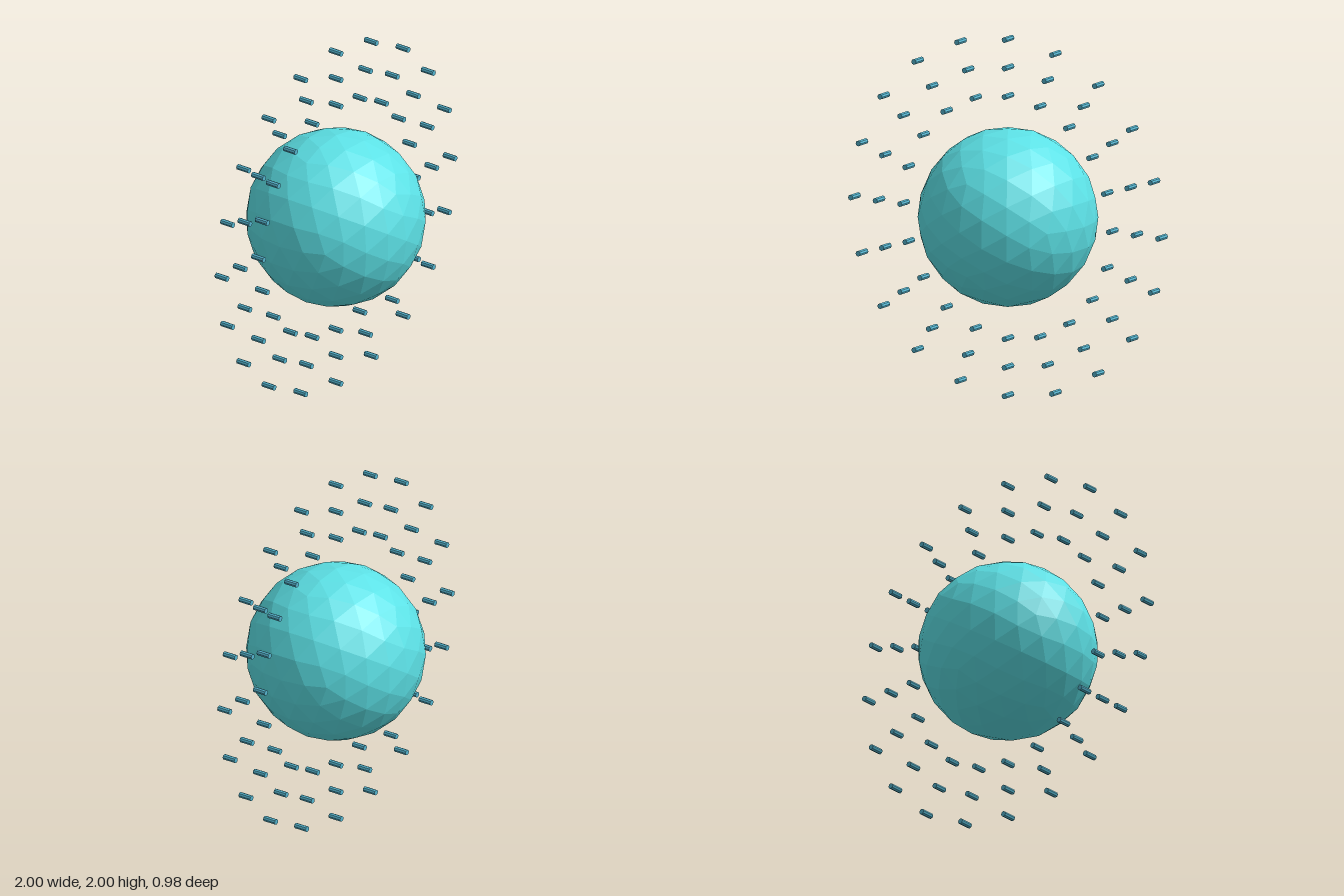
import * as THREE from 'three';

export function createModel() {
  const model = new THREE.Group();
  model.name = 'orbitingSphere';

  const sphereColour = new THREE.MeshStandardMaterial({ color: 0x5ce1e6, flatShading: true });
  sphereColour.name = 'turquoise';
  const rodColour = new THREE.MeshStandardMaterial({ color: 0x55b5cf, flatShading: true });
  rodColour.name = 'steelBlue';

  // Faceted central ball
  const ball = new THREE.Mesh(new THREE.IcosahedronGeometry(0.488, 3), sphereColour);
  ball.name = 'ball';
  ball.position.y = 1;
  model.add(ball);

  // Three rings of short rods, all pointing along z
  const rodGeometry = new THREE.CylinderGeometry(0.0157, 0.0157, 0.079, 8);
  rodGeometry.rotateX(Math.PI / 2);
  const rodsPerRing = 20;
  ['innerRing', 'middleRing', 'outerRing'].forEach((name, ring) => {
    const group = new THREE.Group();
    group.name = name;
    group.position.y = 1;
    const radius = 0.669 + ring * 0.1575;
    for (let i = 0; i < rodsPerRing; i++) {
      const angle = (i / rodsPerRing) * Math.PI * 2;
      const rod = new THREE.Mesh(rodGeometry, rodColour);
      rod.name = 'rod';
      rod.position.set(Math.cos(angle) * radius, Math.sin(angle) * radius, 0);
      group.add(rod);
    }
    model.add(group);
  });

  return model;
}
